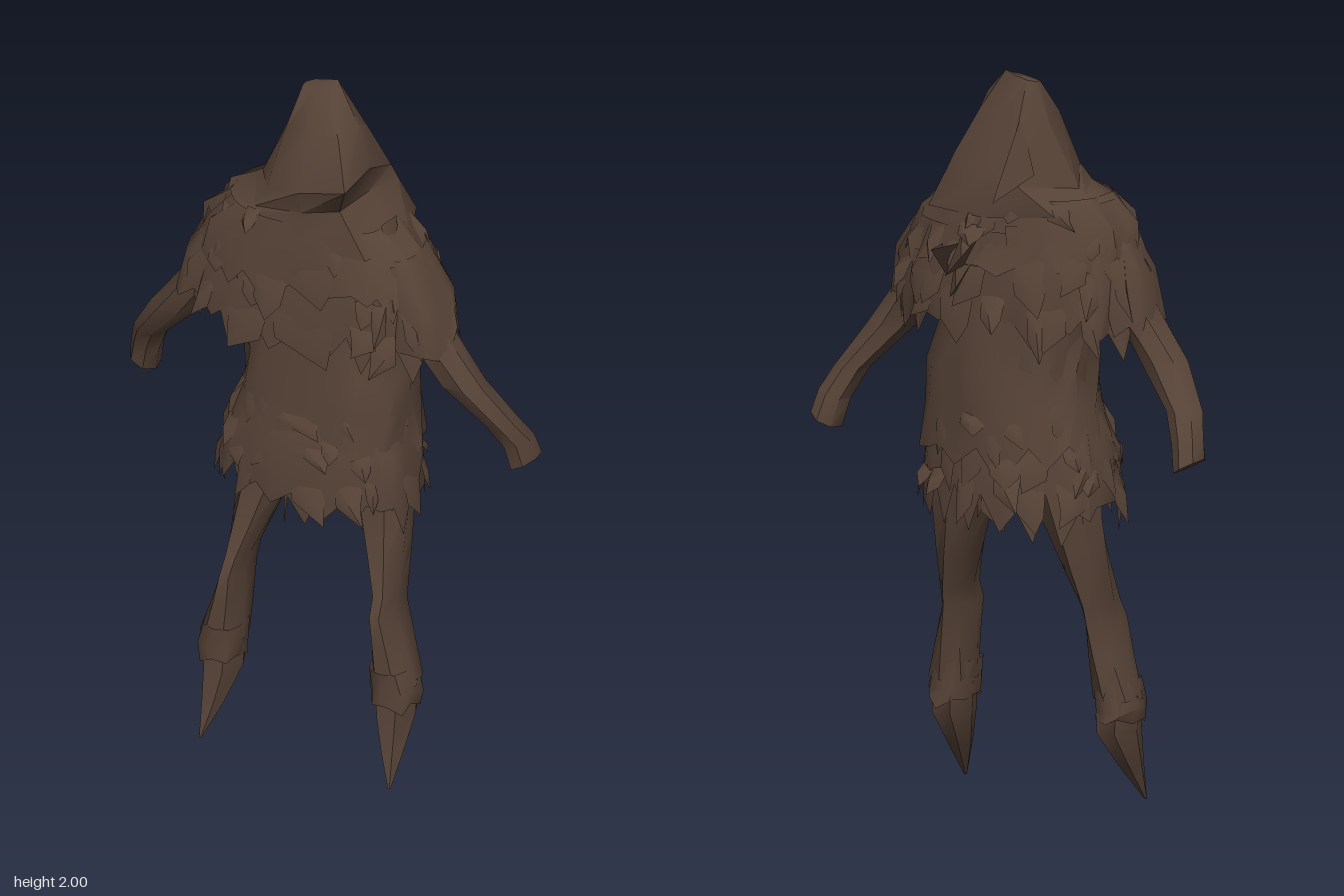
import * as THREE from 'three';
import { mergeVertices, toCreasedNormals } from 'three/addons/utils/BufferGeometryUtils.js';

// Seeded random numbers in -1..1
let seed = 7;
const rnd = () => {
  seed = (seed * 16807) % 2147483647;
  return (seed / 2147483647) * 2 - 1;
};

// One point of a cross-section [cx, y, cz, rx, zFront, zBack, tilt]; angle 0 is the front
function ringPoint([cx, y, cz, rx, zf, zb = zf, tilt = 0], a, square = 1) {
  const s = Math.sin(a), c = Math.cos(a);
  const p = c > 0 ? square : 1;
  return [cx + rx * Math.sign(s) * Math.abs(s) ** p, y + tilt * s, cz + (c > 0 ? zf * c ** p : zb * c)];
}

// Skin a list of point loops running from top to bottom
function skin(loops, crease, capTop, capBottom) {
  const n = loops[0].length, pos = loops.flat(2), idx = [];
  for (let r = 0; r < loops.length - 1; r++)
    for (let i = 0; i < n; i++) {
      const a = r * n + i, b = r * n + (i + 1) % n;
      idx.push(a, a + n, b, b, a + n, b + n);
    }
  const cap = (r, top) => {
    const c = pos.length / 3;
    for (let k = 0; k < 3; k++) pos.push(loops[r].reduce((t, p) => t + p[k], 0) / n);
    for (let i = 0; i < n; i++) {
      const a = r * n + i, b = r * n + (i + 1) % n;
      top ? idx.push(c, a, b) : idx.push(c, b, a);
    }
  };
  if (capTop) cap(0, true);
  if (capBottom) cap(loops.length - 1, false);
  const g = new THREE.BufferGeometry();
  g.setAttribute('position', new THREE.Float32BufferAttribute(pos, 3));
  g.setIndex(idx);
  return toCreasedNormals(mergeVertices(g), crease);
}

// Closed limb from cross-sections
function limb(rings, sides = 7) {
  const loops = rings.map(r => Array.from({ length: sides }, (_, i) => ringPoint(r, (i + 0.5) / sides * Math.PI * 2)));
  return skin(loops, 0.8, true, true);
}

// Open cloth layer with crumpled folds and a torn hem
function cloth(rings, sides, crumple, hem) {
  const last = rings.length - 1;
  const loops = rings.map((r, k) => Array.from({ length: sides }, (_, i) => {
    const p = ringPoint(r, (i + (k ? rnd() * 0.2 : 0)) / sides * Math.PI * 2, 0.7);
    const f = 1 + crumple * rnd() * (k ? 1 : 0.3);
    const drop = k === last ? (i % 2 ? -hem * (0.55 + 0.45 * rnd()) : hem * 0.3 * rnd()) : k ? rnd() * 0.02 : 0;
    return [r[0] + (p[0] - r[0]) * f, p[1] + drop, r[2] + (p[2] - r[2]) * f];
  }));
  return skin(loops, 0.9);
}

// Loose triangles
function facets(pos, crease) {
  const g = new THREE.BufferGeometry();
  g.setAttribute('position', new THREE.Float32BufferAttribute(pos, 3));
  return toCreasedNormals(g, crease);
}

// Rows of overlapping torn rags around cross-sections
function rags(rings, perRow, length, flare) {
  const pos = [];
  for (const r of rings)
    for (let i = 0; i < perRow; i++) {
      const a = (i + 0.4 * rnd()) / perRow * Math.PI * 2;
      const w = (0.8 + 0.3 * rnd()) * 3.2 / perRow;
      const dy = 0.025 * rnd(), len = length * (0.8 + 0.4 * rnd()), out = flare * (1 + 0.8 * rnd());
      const at = (ang, y, o) => {
        const p = ringPoint(r, ang, 0.7);
        return [p[0] + Math.sin(ang) * o, p[1] + y + dy, p[2] + Math.cos(ang) * o];
      };
      const tl = at(a - w, 0, -0.01), tr = at(a + w, 0, -0.01);
      const mid = at(a, -len * 0.45, out * 0.8), tip = at(a + rnd() * w, -len, out);
      const bl = at(a - w * 0.8, -len * 0.6, out * 0.4), br = at(a + w * 0.8, -len * 0.65, out * 0.4);
      pos.push(...tl, ...mid, ...tr, ...tl, ...bl, ...mid, ...bl, ...tip, ...mid, ...mid, ...tip, ...br, ...mid, ...br, ...tr);
    }
  return facets(pos, 0.9);
}

export function createModel() {
  seed = 7;
  const group = new THREE.Group();
  const brown = new THREE.MeshStandardMaterial({ color: 0x574337, side: THREE.DoubleSide });
  brown.name = 'dark brown cloth';
  const add = (name, geometry) => {
    const m = new THREE.Mesh(geometry, brown);
    m.name = name;
    group.add(m);
  };

  // Pointed hood with a front peak; loops start at the front and run towards +x
  const hoodUpper = [
    [[-0.05, 1.98, 0.01], [-0.02, 1.985, 0.01], [0, 1.995, -0.02], [0, 2, -0.03],
      [-0.03, 1.99, -0.035], [-0.07, 1.98, -0.035], [-0.09, 1.975, -0.02], [-0.09, 1.975, 0]],
    [[0, 1.92, 0.13], [0.09, 1.93, 0.14], [0.1, 1.92, 0.04], [0.08, 1.88, -0.04],
      [0.01, 1.87, -0.07], [-0.08, 1.88, -0.09], [-0.13, 1.87, -0.02], [-0.1, 1.88, 0.08]],
  ];
  const hoodLower = [
    [[0.01, 1.78, 0.215], [0.185, 1.865, 0.285], [0.165, 1.84, 0.1], [0.145, 1.76, -0.06],
      [0.03, 1.75, -0.125], [-0.1, 1.75, -0.13], [-0.2, 1.69, 0.02], [-0.12, 1.73, 0.15]],
    [[0.01, 1.71, 0.2], [0.12, 1.74, 0.19], [0.14, 1.74, 0.06], [0.16, 1.72, -0.07],
      [0.03, 1.71, -0.14], [-0.11, 1.71, -0.14], [-0.22, 1.68, 0.02], [-0.14, 1.68, 0.18]],
    [[0, 1.61, 0.215], [0.2, 1.61, 0.195], [0.26, 1.62, 0.05], [0.2, 1.62, -0.1],
      [0, 1.62, -0.155], [-0.2, 1.63, -0.1], [-0.28, 1.66, 0.05], [-0.24, 1.64, 0.18]],
  ];
  add('hood', skin([...hoodUpper, ...hoodLower], 0.7, true, true));

  // Narrow folded point at the rear of the hood
  const top = [-0.08, 1.89, -0.08], tip = [-0.11, 1.69, -0.27];
  const inner = [-0.07, 1.74, -0.12], outer = [-0.135, 1.74, -0.1];
  add('hoodRearPoint', facets([
    ...top, ...inner, ...tip, ...top, ...tip, ...outer, ...inner, ...outer, ...tip,
  ], 0.3));

  // Torso under the cloth
  add('torso', limb([
    [0, 1.62, 0.04, 0.24, 0.14, 0.17], [0, 1.45, 0.04, 0.25, 0.15, 0.19],
    [0, 1.25, 0.03, 0.21, 0.15, 0.18], [0, 1.05, 0.03, 0.22, 0.15, 0.18],
    [0, 0.9, 0.03, 0.23, 0.14, 0.15], [0, 0.82, 0.03, 0.13, 0.08, 0.1],
  ], 14));

  // Layered shoulder cape
  add('capeUpper', cloth([
    [-0.02, 1.67, 0.05, 0.23, 0.155, 0.18], [-0.02, 1.59, 0.06, 0.31, 0.155, 0.2],
    [0, 1.5, 0.07, 0.35, 0.15, 0.23],
  ], 40, 0.05, 0.07));
  add('capeLower', cloth([
    [0, 1.58, 0.06, 0.3, 0.13, 0.2], [0, 1.46, 0.07, 0.365, 0.14, 0.23],
    [0, 1.34, 0.06, 0.36, 0.155, 0.21],
  ], 44, 0.05, 0.11));
  add('capeRags', rags([
    [-0.02, 1.66, 0.05, 0.25, 0.155, 0.18], [-0.01, 1.58, 0.06, 0.32, 0.155, 0.21],
    [0, 1.5, 0.07, 0.36, 0.155, 0.235], [0, 1.41, 0.06, 0.365, 0.16, 0.22],
  ], 18, 0.14, 0.021));

  // Tunic and tattered skirt
  add('tunic', cloth([
    [0, 1.42, 0.04, 0.23, 0.15, 0.19], [0, 1.29, 0.03, 0.21, 0.155, 0.19],
    [0.02, 1.2, 0.03, 0.235, 0.165, 0.195], [0.01, 1.1, 0.03, 0.24, 0.165, 0.2],
    [0, 0.98, 0.03, 0.27, 0.18, 0.2],
  ], 24, 0.06, 0.09));
  add('skirt', cloth([
    [0, 1.05, 0.03, 0.24, 0.165, 0.17], [0, 0.95, 0.03, 0.275, 0.185, 0.185],
    [0, 0.85, 0.03, 0.28, 0.185, 0.185],
  ], 36, 0.05, 0.12));
  add('skirtRags', rags([
    [0, 1.1, 0.03, 0.235, 0.165, 0.19], [0, 1.0, 0.03, 0.265, 0.18, 0.19],
    [0, 0.92, 0.03, 0.28, 0.185, 0.185],
  ], 17, 0.14, 0.02));
  // Longer torn strips at the middle of the hem
  add('middleHem', rags([[0, 0.9, 0.05, 0.08, 0.13, 0.18]], 7, 0.16, 0.005));

  // Loose strips standing out from the back
  const strips = [];
  for (const [x, y, end, z] of [[0.03, 1.53, 1.48, -0.285], [0.09, 1.5, 1.54, -0.26], [0.05, 1.46, 1.41, -0.23]])
    strips.push(x - 0.02, y + 0.04, -0.14, x + 0.03, y - 0.05, -0.14, x, end, z,
      x + 0.03, y - 0.05, -0.14, x + 0.04, y + 0.03, -0.14, x, end, z);
  add('backStrips', facets(strips, 0.3));

  // Limbs, mirrored
  for (const [side, s] of [['left', 1], ['right', -1]]) {
    add(side + 'Arm', limb([
      [s * 0.24, 1.55, 0.07, 0.07, 0.08], [s * 0.33, 1.38, 0.085, 0.065, 0.07],
      [s * 0.43, 1.24, 0.08, 0.07, 0.058], [s * 0.525, 1.12, 0.035, 0.05, 0.052],
      [s * 0.557, 1.05, 0, 0.042, 0.05, 0.05, s * 0.015], [s * 0.572, 0.982, -0.015, 0.04, 0.055, 0.055, s * 0.022],
    ]));
    add(side + 'Sleeve', cloth([
      [s * 0.24, 1.6, 0.06, 0.055, 0.09], [s * 0.295, 1.47, 0.07, 0.085, 0.11],
      [s * 0.335, 1.36, 0.08, 0.075, 0.095],
    ], 14, 0.08, 0.12));
    add(side + 'Leg', limb([
      [s * 0.13, 0.95, 0.03, 0.12, 0.1], [s * 0.172, 0.79, 0.03, 0.085, 0.082],
      [s * 0.203, 0.64, 0.065, 0.054, 0.084], [s * 0.222, 0.55, 0.09, 0.034, 0.085],
      [s * 0.226, 0.5, 0.11, 0.032, 0.095], [s * 0.24, 0.41, 0.115, 0.046, 0.088],
      [s * 0.26, 0.29, 0.125, 0.066, 0.078],
    ]));
    // Trouser cuff and pointed foot
    add(side + 'Cuff', cloth([
      [s * 0.25, 0.34, 0.125, 0.055, 0.08], [s * 0.262, 0.27, 0.125, 0.066, 0.078],
      [s * 0.262, 0.24, 0.125, 0.06, 0.078],
    ], 10, 0.06, 0.03));
    add(side + 'Foot', limb([
      [s * 0.26, 0.3, 0.125, 0.06, 0.075], [s * 0.26, 0.2, 0.125, 0.056, 0.078],
      [s * 0.27, 0.1, 0.17, 0.033, 0.042], [s * 0.284, 0, 0.218, 0.004, 0.004],
    ], 6));
  }
  return group;
}
